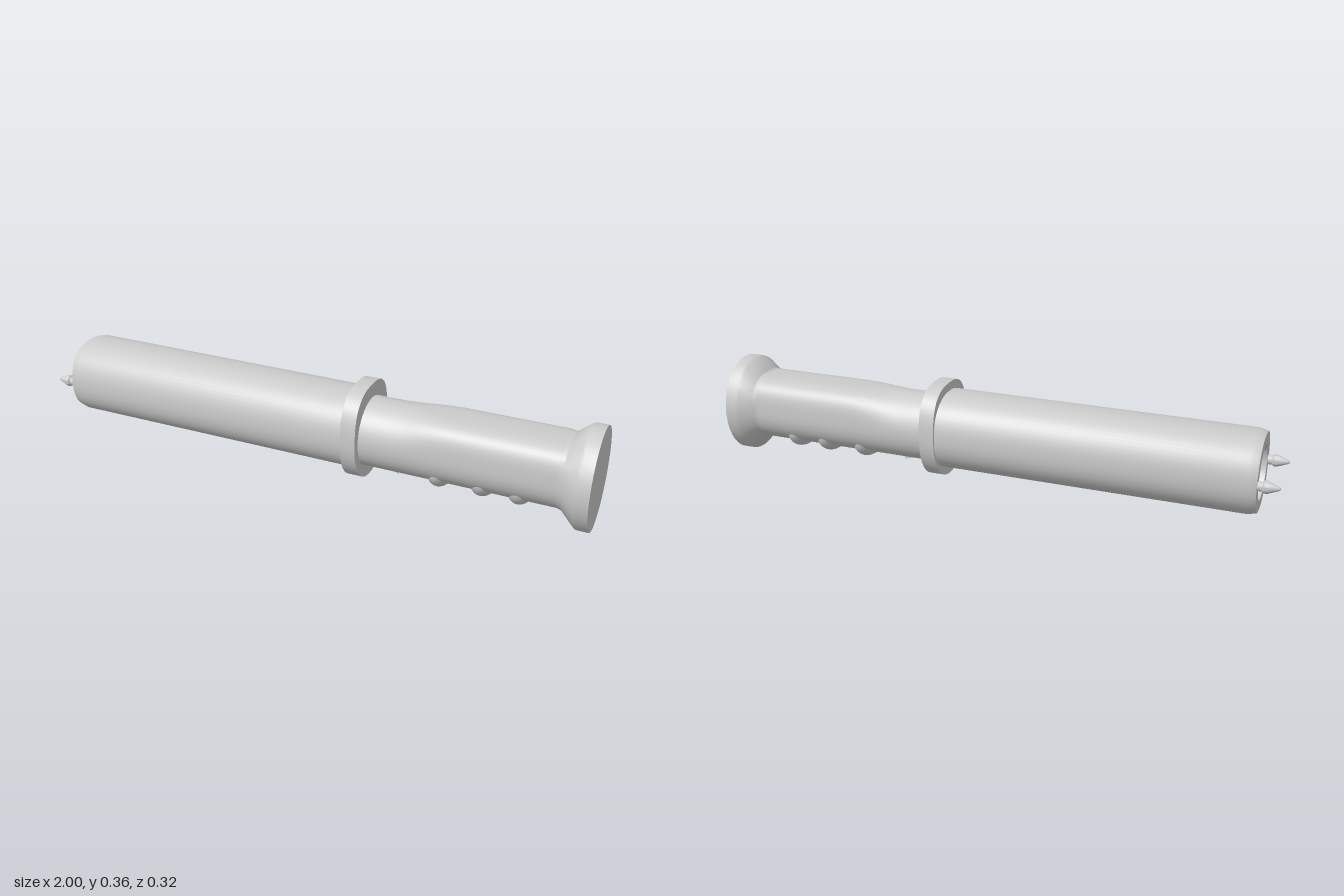
import * as THREE from 'three';
import { toCreasedNormals } from 'three/addons/utils/BufferGeometryUtils.js';

const CY = 0.187; // height of the long axis
const CZ = -0.004;
const SEG = 56;

// Signed power, used for the rounded-square cross-sections
const spow = (v, p) => Math.sign(v) * Math.abs(v) ** p;

// Loft along x. Station: [x, halfZ, top, bottom, topSquareness, bottomSquareness, centreZ]
function loft(stations, crease = 0.5) {
  const pos = [], index = [];
  for (const [x, hz, top, bottom, nTop = 2, nBot = 2, cz = CZ] of stations) {
    for (let j = 0; j < SEG; j++) {
      const t = (j / SEG) * Math.PI * 2;
      const s = Math.sin(t);
      const p = 2 / (s >= 0 ? nTop : nBot);
      const h = s >= 0 ? top : bottom;
      pos.push(x, CY + h * spow(s, p), cz + hz * spow(Math.cos(t), p));
    }
  }
  for (let i = 0; i < stations.length - 1; i++) {
    for (let j = 0; j < SEG; j++) {
      const k = (j + 1) % SEG;
      const a = i * SEG + j, b = a + SEG, c = i * SEG + k, d = c + SEG;
      if (stations[i][1] > 0) index.push(a, b, c);
      if (stations[i + 1][1] > 0) index.push(b, d, c);
    }
  }
  const geo = new THREE.BufferGeometry();
  geo.setAttribute('position', new THREE.Float32BufferAttribute(pos, 3));
  geo.setIndex(index);
  return toCreasedNormals(geo, crease);
}

export function createModel() {
  const model = new THREE.Group();
  model.name = 'baton';
  const material = new THREE.MeshStandardMaterial({ color: 0xcccccc });
  const add = (name, geo) => {
    const mesh = new THREE.Mesh(geo, material);
    mesh.name = name;
    model.add(mesh);
    return mesh;
  };

  // Barrel with a recessed front end
  add('barrel', loft([
    [-0.87, 0, 0, 0],
    [-0.87, 0.092, 0.092, 0.092],
    [-0.928, 0.092, 0.092, 0.092],
    [-0.928, 0.133, 0.13, 0.13, 2.3, 2.2],
    [-0.9, 0.141, 0.138, 0.137, 2.3, 2.2],
    [0.18, 0.141, 0.138, 0.137, 2.3, 2.2],
  ]));

  // Guard ring between barrel and grip
  add('guard', loft([
    [0.166, 0, 0, 0],
    [0.166, 0.147, 0.168, 0.172, 2.7, 2.1],
    [0.22, 0.147, 0.168, 0.172, 2.7, 2.1],
    [0.22, 0, 0, 0],
  ]));

  // Grip: round near the guard, with a flattened top further back
  const grip = [];
  for (let i = 0; i <= 24; i++) {
    const x = 0.21 + (i / 24) * 0.68;
    const k = THREE.MathUtils.smoothstep(x, 0.32, 0.54);
    grip.push([x, 0.12, 0.118, 0.124, 2 + 1.3 * k, 2.2]);
  }
  add('grip', loft(grip, 0.7));

  // Flared pommel
  add('pommel', loft([
    [0.885, 0.118, 0.117, 0.123, 3.2, 2.2],
    [0.905, 0.124, 0.122, 0.13, 2.6, 2.1, -0.002],
    [0.952, 0.156, 0.168, 0.183, 2, 2, 0],
    [0.96, 0.158, 0.171, 0.187, 2, 2, 0],
    [1, 0.158, 0.171, 0.187, 2, 2, 0],
    [1, 0, 0, 0, 2, 2, 0],
  ]));

  // Finger ridges under the grip
  for (const x of [0.485, 0.635, 0.76]) {
    const ridge = add('fingerRidge', new THREE.SphereGeometry(1, 32, 20));
    ridge.scale.set(0.052, 0.075, 0.1);
    ridge.position.set(x, 0.116, CZ);
  }

  // Small wedge-shaped trigger
  const wedge = new THREE.Shape();
  wedge.moveTo(0.26, 0.09);
  wedge.lineTo(0.28, 0.065);
  wedge.lineTo(0.335, 0.05);
  wedge.lineTo(0.345, 0.09);
  const trigger = add('trigger', new THREE.ExtrudeGeometry(wedge, { depth: 0.05, bevelEnabled: false }));
  trigger.position.z = CZ - 0.025;

  // Pair of pointed prongs on the rim
  const prongProfile = [[0, 0.072], [0.006, 0.068], [0.021, 0.03], [0.021, 0.022], [0.016, 0.016], [0.016, -0.03]]
    .reverse().map(([r, y]) => new THREE.Vector2(r, y));
  const prongGeo = toCreasedNormals(new THREE.LatheGeometry(prongProfile, 20), 0.5);
  for (const side of [-1, 1]) {
    const prong = add('prong', prongGeo);
    prong.rotation.z = Math.PI / 2;
    prong.position.set(-0.928, CY, CZ + side * 0.114);
  }
  return model;
}
